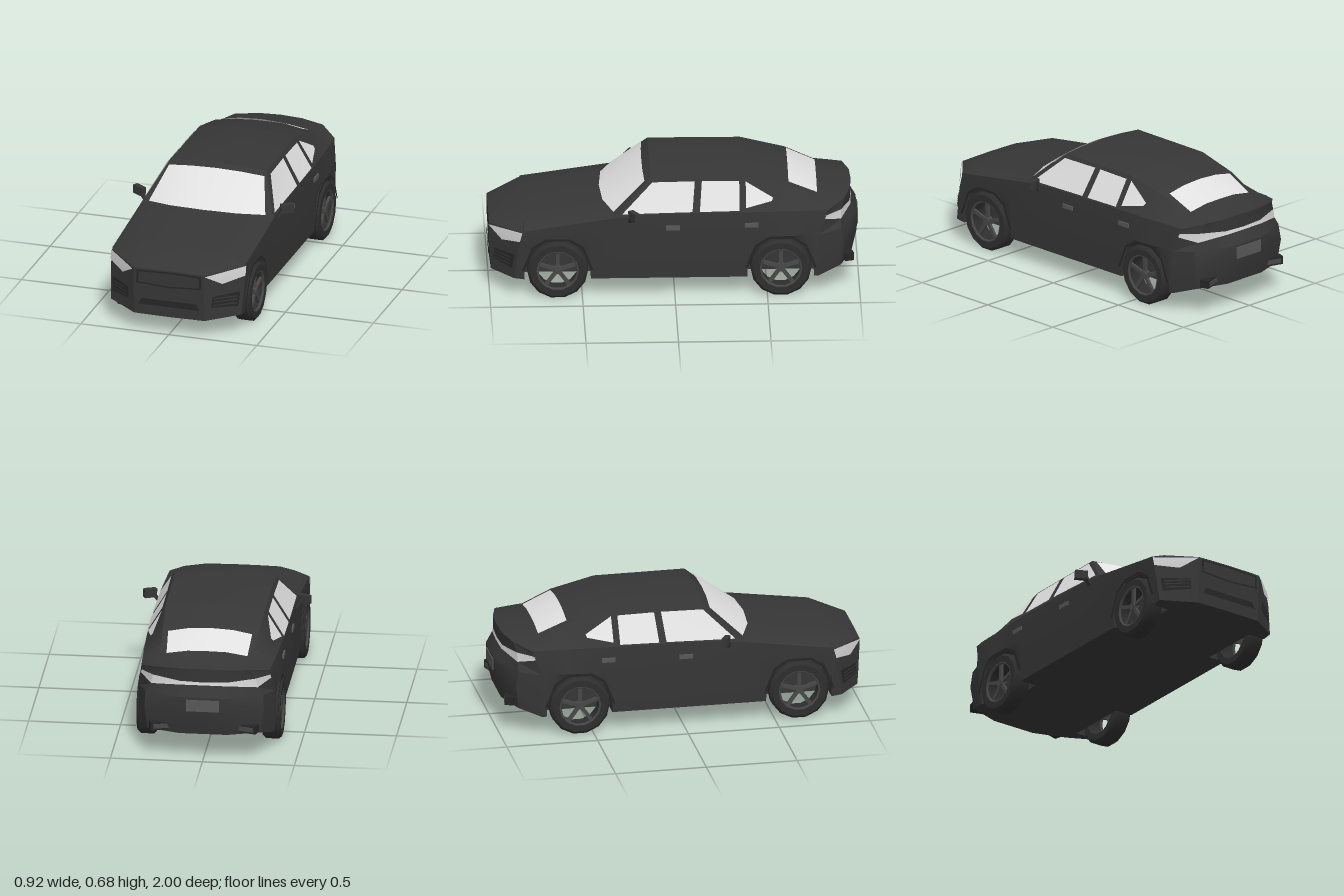
import * as THREE from 'three';
import { toCreasedNormals } from 'three/addons/utils/BufferGeometryUtils.js';

const mat = (name, color, side = THREE.DoubleSide) => {
  const m = new THREE.MeshStandardMaterial({ color, side });
  m.name = name;
  return m;
};
const lerp = (a, b, t) => a + (b - a) * t;

// Polygons (counter-clockwise from outside) on the +x side, mirrored to -x
function patch(name, material, polys, crease = 0.45) {
  const v = [];
  const tri = (a, b, c) => {
    const p = [a, b, c].map((q) => new THREE.Vector3(...q));
    const n = p[1].clone().sub(p[0]).cross(p[2].clone().sub(p[0]));
    if (n.length() > 1e-7) v.push(...a, ...b, ...c);
  };
  const flip = ([x, y, z]) => [-x, y, z];
  for (const p of polys) {
    for (let i = 1; i < p.length - 1; i++) {
      tri(p[0], p[i], p[i + 1]);
      tri(flip(p[0]), flip(p[i + 1]), flip(p[i]));
    }
  }
  const g = new THREE.BufferGeometry();
  g.setAttribute('position', new THREE.Float32BufferAttribute(v, 3));
  const mesh = new THREE.Mesh(toCreasedNormals(g, crease), material);
  mesh.name = name;
  return mesh;
}

// Body keys: z, top z shift, floor y, sill x, waist x y, shoulder x y, roof edge x y, crown x y, top y
const KEYS = [
  [0.815, 0, 0.11, 0.37, 0.38, 0.33, 0.38, 0.395, 0.3, 0.425, 0.2, 0.437, 0.445],
  [0.33, 0.07, 0.11, 0.37, 0.38, 0.34, 0.376, 0.465, 0.35, 0.475, 0.2, 0.487, 0.49],
  [0.13, 0, 0.11, 0.37, 0.38, 0.34, 0.372, 0.483, 0.275, 0.655, 0.14, 0.668, 0.673],
  [-0.37, 0, 0.11, 0.37, 0.38, 0.34, 0.37, 0.488, 0.27, 0.655, 0.14, 0.674, 0.68],
  [-0.61, 0, 0.11, 0.37, 0.38, 0.35, 0.361, 0.487, 0.26, 0.6, 0.14, 0.62, 0.627],
  [-0.77, 0, 0.11, 0.366, 0.372, 0.35, 0.353, 0.488, 0.25, 0.53, 0.12, 0.548, 0.55],
];
function keyAt(z) {
  let i = 0;
  while (i < KEYS.length - 2 && z < KEYS[i + 1][0]) i++;
  const t = (z - KEYS[i][0]) / (KEYS[i + 1][0] - KEYS[i][0]);
  return KEYS[i].map((a, k) => lerp(a, KEYS[i + 1][k], t));
}
function section(z, ya) {
  const [, dz, yb, xs, xm, ym, xh, yh, xe, ye, xc, yc, yt] = keyAt(z);
  return [[0, yb, z], [0.27, yb, z], [0.27, ya, z], [xs, ya, z], [xm, ym, z],
    [xh, yh, z], [xe, ye, z], [xc, yc, z + dz * 0.8], [0, yt, z + dz]];
}
// Point on the leaning side-window surface
function sidePoint([z, y]) {
  const k = keyAt(z);
  return [lerp(k[6], k[8], (y - k[7]) / (k[9] - k[7])) + 0.006, y + 0.003, z];
}
// Point on the front face, angled back outside x = 0.2
function nosePoint([x, y], off = 0.004) {
  const k = y > 0.31 ? 0.89 + (y - 0.31) * 1.47 : 0.765 + (y - 0.118) * 0.65;
  return x <= 0.2 ? [x, y, 1 + off * 0.5] : [x + off * 0.7, y, 1 - (x - 0.2) * k + off];
}

const ARCH = [[0.18, 0.165], [0.13, 0.29], [0.06, 0.335], [-0.06, 0.335], [-0.13, 0.29], [-0.18, 0.165]];
const AXLES = [0.634, -0.573];

export function createModel() {
  const car = new THREE.Group();
  car.name = 'car';
  const paint = mat('body paint', 0x363636);
  const trim = mat('dark trim', 0x262626);
  const rubber = mat('tyre rubber', 0x2e2e2e);
  const metal = mat('wheel metal', 0x484848);
  const handleGrey = mat('handle grey', 0x585858);
  const glass = mat('window glass', 0xe0e0e0);
  const lamp = mat('lamp lens', 0xd2d2d2);

  // Lofted body with real wheel arches
  const stops = KEYS.map((k) => [k[0], k[0] === -0.61 ? 0.335 : 0.11]);
  for (const c of AXLES) {
    stops.push([c + 0.18, 0.11], ...ARCH.map(([d, y]) => [c + d, y]), [c - 0.18, 0.11]);
  }
  stops.sort((a, b) => b[0] - a[0]);
  const nose = [[0, 0.105, 0.995], [0.2, 0.105, 0.99], [0.2, 0.105, 0.99], [0.37, 0.118, 0.87],
    [0.38, 0.31, 0.84], [0.38, 0.385, 0.82], [0.2, 0.372, 1], [0.1, 0.374, 1], [0, 0.375, 1]];
  const tail = [[0, 0.11, -0.78], [0.27, 0.11, -0.78], [0.27, 0.11, -0.78], [0.365, 0.11, -0.78],
    [0.37, 0.35, -0.78], [0.345, 0.485, -0.83], [0.25, 0.515, -0.92], [0.12, 0.522, -0.955], [0, 0.525, -0.96]];
  const rings = [nose, ...stops.map(([z, y]) => section(z, y)), tail];
  const skin = [];
  for (let i = 0; i < rings.length - 1; i++) {
    for (let j = 0; j < 8; j++) {
      skin.push([rings[i][j], rings[i + 1][j], rings[i + 1][j + 1], rings[i][j + 1]]);
    }
  }
  // Front face
  const mid = [0.2, 0.3, 1];
  skin.push([nose[0], nose[1], mid, nose[6], nose[8]], [nose[1], nose[3], nose[4], mid],
    [mid, nose[4], nose[5], nose[6]]);
  // Rear face in rows; the second band is the tail lamp
  const rows = [
    [tail[8], tail[7], tail[6], tail[5]],
    [[0, 0.447, -0.957], [0.13, 0.45, -0.952], [0.28, 0.46, -0.9], [0.352, 0.455, -0.815]],
    [[0, 0.432, -0.962], [0.13, 0.43, -0.957], [0.29, 0.41, -0.9], [0.354, 0.435, -0.811]],
    [[0, 0.37, -0.995], [0.13, 0.37, -0.99], [0.32, 0.365, -0.9], tail[4]],
    [[0, 0.28, -0.995], [0.13, 0.28, -0.99], [0.325, 0.28, -0.915], [0.368, 0.28, -0.78]],
    [[0, 0.15, -0.96], [0.13, 0.15, -0.96], [0.31, 0.15, -0.9], tail[3]],
  ];
  const lampBand = [];
  for (let r = 0; r < 5; r++) {
    for (let c = 0; c < 3; c++) {
      (r === 1 ? lampBand : skin).push([rows[r + 1][c + 1], rows[r + 1][c], rows[r][c], rows[r][c + 1]]);
    }
  }
  skin.push([tail[0], ...rows[5]]);
  car.add(patch('body', paint, skin), patch('tailLamp', lamp, lampBand));

  // Windscreen and rear window, inset on the loft
  const pane = (name, zLow, zHigh, t0, t1, sx, off, flip) => {
    const a = section(zLow, 0).slice(6), b = section(zHigh, 0).slice(6);
    const at = (k, t) => [lerp(a[k][0], b[k][0], t) * sx, lerp(a[k][1], b[k][1], t) + off[0], lerp(a[k][2], b[k][2], t) + off[1]];
    const polys = [0, 1].map((k) => [at(k + 1, t0), at(k, t0), at(k, t1), at(k + 1, t1)]);
    car.add(patch(name, glass, flip ? polys.map((p) => p.reverse()) : polys));
  };
  pane('windscreen', 0.33, 0.13, 0.02, 0.87, 0.95, [0.006, 0.006], false);
  pane('rearWindow', -0.77, -0.61, 0, 0.97, 0.88, [0.008, -0.003], true);

  // Side windows
  const windows = {
    frontSideWindow: [[0.285, 0.482], [-0.095, 0.492], [-0.11, 0.637], [0.12, 0.635]],
    middleSideWindow: [[-0.135, 0.492], [-0.35, 0.495], [-0.35, 0.634], [-0.148, 0.637]],
    rearQuarterWindow: [[-0.385, 0.507], [-0.525, 0.535], [-0.532, 0.55], [-0.385, 0.632]],
  };
  for (const [name, pts] of Object.entries(windows)) car.add(patch(name, glass, [pts.map(sidePoint)]));

  // Front details
  const face = (name, m, pts, off) => car.add(patch(name, m, [pts.map((p) => nosePoint(p, off))]));
  face('headlamp', lamp, [[0.201, 0.366], [0.28, 0.31], [0.38, 0.335], [0.38, 0.386]], 0.005);
  face('grilleFrame', trim, [[0, 0.276], [0.185, 0.288], [0.182, 0.363], [0, 0.368]], 0.003);
  face('grille', paint, [[0, 0.285], [0.174, 0.296], [0.17, 0.354], [0, 0.359]], 0.005);
  face('lowerIntake', trim, [[0, 0.165], [0.174, 0.165], [0.155, 0.2], [0, 0.2]], 0.003);
  face('sideIntake', trim, [[0.232, 0.182], [0.355, 0.172], [0.36, 0.253], [0.237, 0.243]], 0.004);
  for (const y of [0.192, 0.212, 0.23]) {
    face('intakeSlat', paint, [[0.24, y], [0.345, y - 0.003], [0.345, y + 0.005], [0.24, y + 0.006]], 0.008);
  }

  // Small boxes, mirrored
  const box = (name, m, size, pos, rotY = 0, rotZ = 0) => {
    for (const s of [1, -1]) {
      const b = new THREE.Mesh(new THREE.BoxGeometry(...size), m);
      b.name = name;
      b.position.set(s * pos[0], pos[1], pos[2]);
      b.rotation.set(0, s * rotY, s * rotZ);
      car.add(b);
    }
  };
  box('mirrorHousing', paint, [0.07, 0.048, 0.03], [0.42, 0.494, 0.223], 0.5, 0.05);
  box('mirrorStalk', paint, [0.05, 0.014, 0.025], [0.388, 0.463, 0.24], 0, 0.9);
  box('frontHandle', handleGrey, [0.014, 0.024, 0.075], [0.377, 0.406, 0.01]);
  box('rearHandle', handleGrey, [0.014, 0.024, 0.075], [0.375, 0.416, -0.415]);
  box('exhaustSurround', trim, [0.12, 0.045, 0.05], [0.235, 0.185, -0.93], 0.3);
  box('exhaustTip', metal, [0.09, 0.025, 0.054], [0.235, 0.185, -0.932], 0.3);
  const plate = new THREE.Mesh(new THREE.BoxGeometry(0.18, 0.065, 0.008), handleGrey);
  plate.name = 'rearPlate';
  plate.position.set(0, 0.325, -0.995);
  car.add(plate);

  // Wheels and arch lips
  const tyreProfile = [[0.115, -0.05], [0.15, -0.05], [0.165, -0.035], [0.165, 0.035], [0.15, 0.05],
    [0.115, 0.05], [0.112, 0], [0.115, -0.05]].map(([r, h]) => new THREE.Vector2(r, h));
  const tyreGeo = toCreasedNormals(new THREE.LatheGeometry(tyreProfile, 14).toNonIndexed(), 0.6).rotateZ(Math.PI / 2);
  const rimGeo = new THREE.TorusGeometry(0.112, 0.008, 6, 14).rotateY(Math.PI / 2);
  const hubGeo = new THREE.CylinderGeometry(0.022, 0.026, 0.03, 10).rotateZ(-Math.PI / 2);
  const spokeGeo = new THREE.BoxGeometry(0.014, 0.1, 0.02).translate(0, 0.06, 0);
  for (const z of AXLES) {
    for (const s of [1, -1]) {
      const wheel = new THREE.Group();
      wheel.name = z > 0 ? 'frontWheel' : 'rearWheel';
      const add = (name, g, m, x) => {
        const mesh = new THREE.Mesh(g, m);
        mesh.name = name;
        mesh.position.x = x;
        wheel.add(mesh);
        return mesh;
      };
      add('tyre', tyreGeo, rubber, 0);
      add('rim', rimGeo, metal, 0.042);
      add('hub', hubGeo, metal, 0.028);
      for (let i = 0; i < 5; i++) add('spoke', spokeGeo, metal, 0.03).rotation.x = (i * 2 * Math.PI) / 5;
      wheel.position.set(s * 0.34, 0.165, z);
      wheel.rotation.y = s > 0 ? 0 : Math.PI;
      car.add(wheel);
    }
    const lip = [];
    const out = ([d, y], k) => [0.383, 0.165 + (y - 0.165) * k, z + d * k];
    for (let i = 0; i < ARCH.length - 1; i++) {
      lip.push([out(ARCH[i], 1), out(ARCH[i + 1], 1), out(ARCH[i + 1], 1.08), out(ARCH[i], 1.08)]);
    }
    car.add(patch('archLip', trim, lip));
  }
  return car;
}
